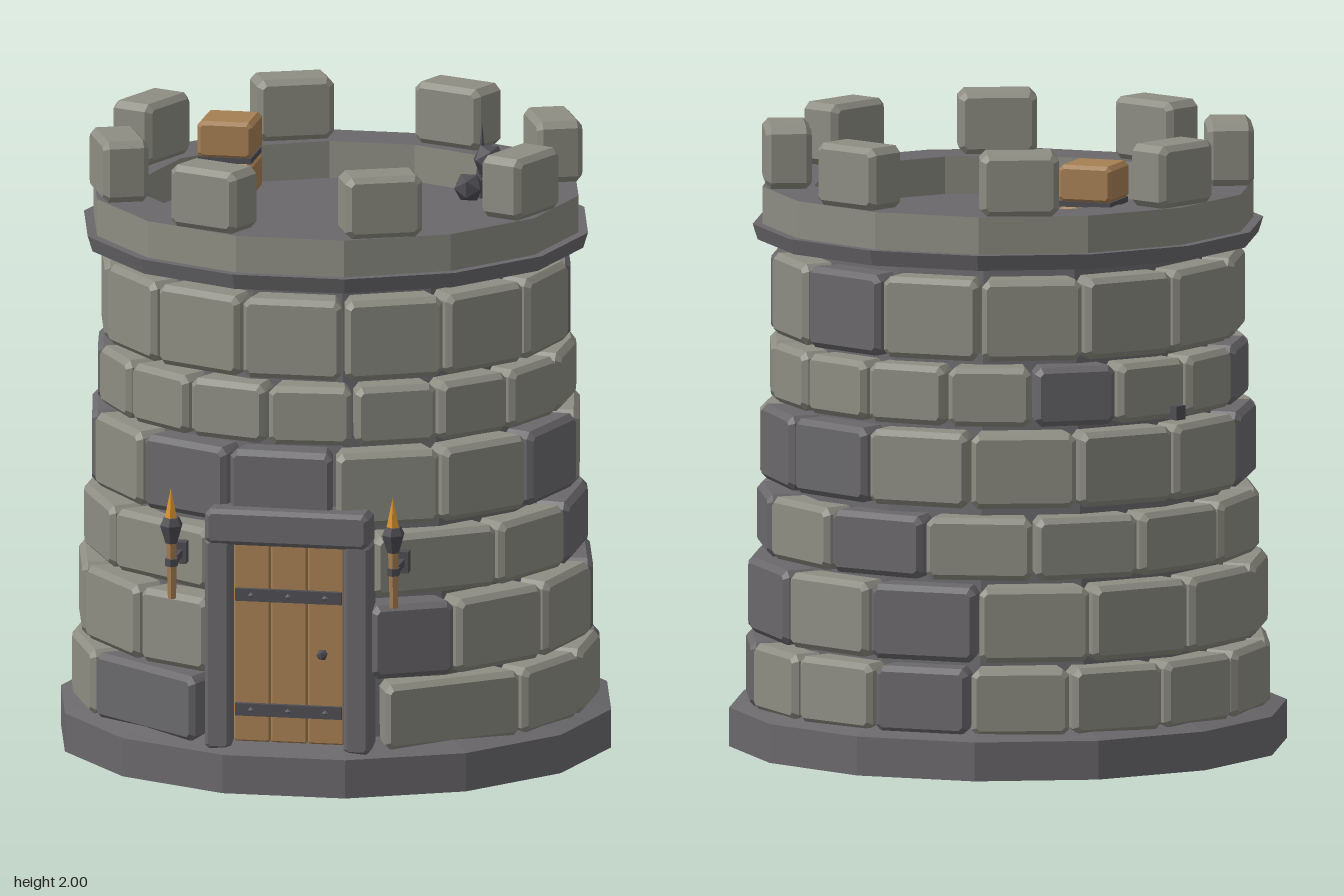
import * as THREE from 'three';

const mat = (name, color) => Object.assign(new THREE.MeshStandardMaterial({ color }), { name });
const MID = -0.035; // z of the tower axis
const SIDES = 14;
const RAD = Math.PI / 180;

// Faceted copy of a geometry
function facet(g) {
  const f = g.index ? g.toNonIndexed() : g;
  f.computeVertexNormals();
  return f;
}

// Box with every edge chamfered by b, centred on the origin
function chamferBox(w, h, d, b) {
  const x = w / 2 - b, y = h / 2 - b, c = b * 0.6;
  const s = new THREE.Shape([[x, -y + c], [x, y - c], [x - c, y], [-x + c, y], [-x, y - c], [-x, -y + c], [-x + c, -y], [x - c, -y]]
    .map(p => new THREE.Vector2(...p)));
  const g = new THREE.ExtrudeGeometry(s, { depth: d - 2 * b, bevelEnabled: true, bevelSize: b, bevelThickness: b, bevelSegments: 1 });
  g.translate(0, 0, b - d / 2);
  return g;
}

// Fourteen-sided turned shape with a corner on the x axis
function turned(points) {
  return facet(new THREE.LatheGeometry(points.map(p => new THREE.Vector2(...p)), SIDES, Math.PI / SIDES));
}

// Wedge-shaped brick spanning an angle, its outer corners at radius r
function brickGeometry(span, h, r) {
  const face = r * Math.cos(span / 2), depth = 0.16;
  const g = chamferBox(2 * r * Math.sin(span / 2) - 0.012, h, depth, 0.018);
  g.translate(0, 0, face - depth / 2);
  const p = g.attributes.position;
  for (let i = 0; i < p.count; i++) p.setX(i, p.getX(i) * p.getZ(i) / face);
  return facet(g);
}

export function createModel() {
  const root = new THREE.Group();
  root.name = 'watchtower';
  const stone = mat('light stone', 0x8d8d83);
  const dark = mat('dark stone', 0x6a686b);
  const iron = mat('iron', 0x4e4e54);
  const wood = mat('wood', 0xa67f53);
  const flame = mat('flame', 0xdc9430);

  const add = (parent, name, geo, m, x = 0, y = 0, z = 0) => {
    const mesh = new THREE.Mesh(geo, m);
    mesh.name = name;
    mesh.position.set(x, y, z);
    parent.add(mesh);
    return mesh;
  };
  const group = (parent, name, x = 0, y = 0, z = 0) => {
    const g = new THREE.Group();
    g.name = name;
    g.position.set(x, y, z);
    parent.add(g);
    return g;
  };

  const tower = group(root, 'tower', 0, 0, MID);
  add(tower, 'base', turned([[0, 0], [0.893, 0], [0.893, 0.125], [0.74, 0.17]]), dark);
  add(tower, 'core', turned([[0.76, 0.12], [0.65, 1.64]]), dark);
  add(tower, 'collarAndFloor', turned([[0.6, 1.63], [0.802, 1.63], [0.818, 1.68], [0, 1.68]]), dark);
  add(tower, 'parapetOutside', turned([[0.787, 1.68], [0.787, 1.8]]), stone);
  add(tower, 'parapetInside', turned([[0.62, 1.8], [0.62, 1.68]]), stone);
  add(tower, 'parapetTop', turned([[0.787, 1.8], [0.62, 1.8]]), dark);

  // Brick courses: bottom, top, radius, count, first joint, doorway half angle, angles of dark bricks.
  // Angles are in degrees from the front towards +x.
  const courses = [
    [0.135, 0.35, 0.845, 16, 11.25, 21.5, [-37, 112, 187]],
    [0.37, 0.61, 0.835, 14, 12.86, 18.5, [28, 102, 128, 176]],
    [0.63, 0.83, 0.808, 14, 0, 19.5, [90, 116, 172]],
    [0.86, 1.1, 0.796, 14, 10.6, 0, [-28, -2, 76, 125, 153, 282]],
    [1.12, 1.31, 0.77, 17, 15.2, 0, [213, 288]],
    [1.33, 1.59, 0.762, 14, 12.86, 0, [103, 150]],
  ];
  courses.forEach(([y0, y1, r, n, first, door, darks], row) => {
    const course = group(tower, 'brickCourse' + (row + 1));
    let joints = Array.from({ length: n }, (_, i) => first + i * 360 / n);
    if (door) {
      joints = joints.filter(a => a > door + 14 && a < 346 - door);
      joints = [door, ...joints, 360 - door];
    } else joints.push(first + 360);
    for (let i = 0; i + 1 < joints.length; i++) {
      const a = joints[i], b = joints[i + 1];
      const isDark = darks.some(d => [d, d + 360].some(e => e >= a && e < b));
      const brick = add(course, 'brick', brickGeometry((b - a) * RAD, y1 - y0, r), isDark ? dark : stone, 0, (y0 + y1) / 2);
      brick.rotation.y = (a + b) / 2 * RAD;
    }
  });

  // Battlements
  const merlonGeo = facet(chamferBox(0.25, 0.2, 0.148, 0.018));
  for (let i = 0; i < 8; i++) {
    const a = (22.5 + 45 * i) * RAD;
    add(tower, 'merlon', merlonGeo, stone, 0.705 * Math.sin(a), 1.9, 0.705 * Math.cos(a)).rotation.y = a;
  }

  // Small peg low on the back wall
  const peg = 244 * RAD;
  add(tower, 'peg', new THREE.BoxGeometry(0.04, 0.045, 0.1), iron, 0.74 * Math.sin(peg), 1.14, 0.74 * Math.cos(peg)).rotation.y = peg;

  // Doorway
  const door = group(root, 'door');
  for (const s of [-1, 1]) add(door, 'doorJamb', facet(chamferBox(0.085, 0.69, 0.12, 0.012)), dark, s * 0.225, 0.475, 0.73);
  add(door, 'lintel', facet(chamferBox(0.53, 0.115, 0.13, 0.014)), dark, 0, 0.86, 0.735);
  add(door, 'doorBacking', new THREE.BoxGeometry(0.38, 0.66, 0.04), iron, 0, 0.475, 0.7);
  for (let i = -1; i <= 1; i++) add(door, 'plank', facet(chamferBox(0.118, 0.65, 0.05, 0.005)), wood, i * 0.12, 0.478, 0.725);
  for (const y of [0.26, 0.635]) {
    add(door, 'strap', new THREE.BoxGeometry(0.345, 0.04, 0.02), iron, 0, y, 0.757);
    for (const x of [-0.12, 0, 0.12]) add(door, 'rivet', facet(new THREE.OctahedronGeometry(0.01)), dark, x, y, 0.768);
  }
  add(door, 'knob', facet(new THREE.IcosahedronGeometry(0.019)), iron, 0.11, 0.45, 0.765);

  // Wall torches
  for (const s of [-1, 1]) {
    const torch = group(root, 'torch', s * 0.36, 0.75, 0.858);
    add(torch, 'bracketArm', new THREE.BoxGeometry(0.022, 0.024, 0.15), iron, 0, 0.005, -0.07);
    add(torch, 'wallPlate', new THREE.BoxGeometry(0.045, 0.07, 0.04), iron, 0, 0.005, -0.145);
    const stick = group(torch, 'torchStick');
    stick.rotation.x = 0.05;
    add(stick, 'handle', facet(new THREE.CylinderGeometry(0.018, 0.014, 0.2, 6)), wood, 0, -0.015);
    add(stick, 'band', facet(new THREE.CylinderGeometry(0.022, 0.022, 0.024, 6)), iron, 0, 0.005);
    add(stick, 'cup', facet(new THREE.CylinderGeometry(0.038, 0.02, 0.06, 6)), iron, 0, 0.098);
    add(stick, 'cupRim', facet(new THREE.CylinderGeometry(0.026, 0.038, 0.025, 6)), iron, 0, 0.14);
    add(stick, 'flame', facet(new THREE.ConeGeometry(0.028, 0.13, 5)), flame, 0, 0.185);
  }

  // Crate on the roof
  const crate = group(root, 'crate', -0.41, 0, -0.37);
  for (const y of [1.74, 1.87]) add(crate, 'crateHalf', facet(chamferBox(0.18, 0.12, 0.18, 0.012)), wood, 0, y);
  add(crate, 'crateStrap', new THREE.BoxGeometry(0.172, 0.018, 0.172), iron, 0, 1.805);

  // Rubble heap on the roof
  const rubble = group(root, 'rubble');
  [[0.36, 1.725, -0.4, 0.05], [0.46, 1.72, -0.38, 0.045], [0.42, 1.73, -0.48, 0.045], [0.42, 1.81, -0.43, 0.055]]
    .forEach(([x, y, z, r], i) => {
      add(rubble, 'rock', facet(new THREE.IcosahedronGeometry(r)), iron, x, y, z).rotation.set(i, i * 2, 0);
    });
  add(rubble, 'shard', facet(new THREE.ConeGeometry(0.028, 0.24, 5)), iron, 0.39, 1.8, -0.47);

  return root;
}
